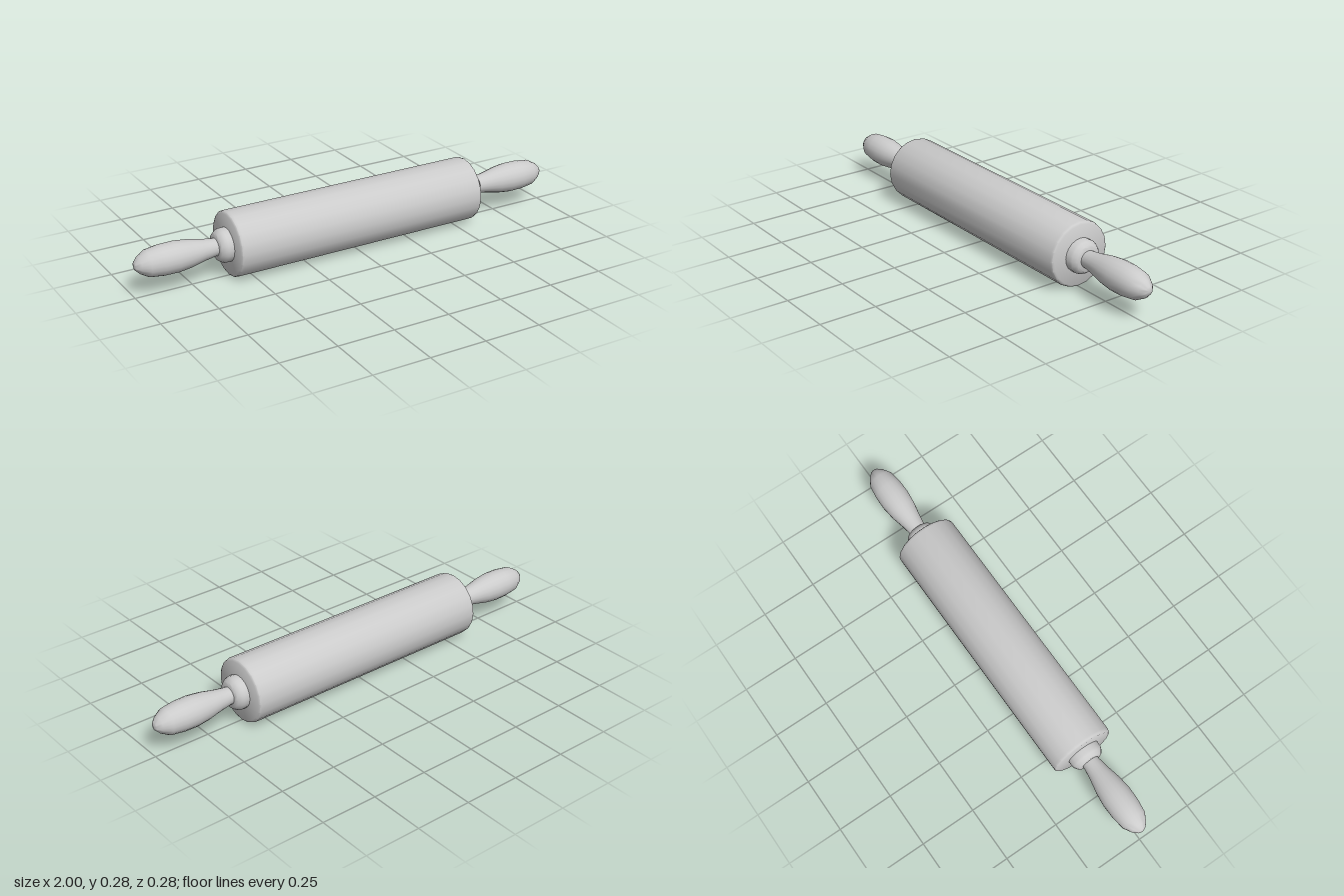
import * as THREE from 'three';
import { toCreasedNormals } from 'three/addons/utils/BufferGeometryUtils.js';

const AXIS_Y = 0.141;
const SIDES = 20;

export function createModel() {
  const model = new THREE.Group();
  model.name = 'rollingPin';
  const material = new THREE.MeshStandardMaterial({ color: 0xcccccc });

  // Turned part: profile of [distance along x, radius], ordered towards +x
  const turned = (name, profile, crease) => {
    const points = profile.map(([x, r]) => new THREE.Vector2(r, x));
    const lathe = new THREE.LatheGeometry(points, SIDES).rotateZ(-Math.PI / 2);
    const mesh = new THREE.Mesh(toCreasedNormals(lathe, crease), material);
    mesh.name = name;
    return mesh;
  };

  // Main barrel with softly rounded rims
  const rim = [[0.573, 0.141], [0.583, 0.138], [0.588, 0.13], [0.588, 0]];
  const barrel = turned('roller', [
    ...rim.map(([x, r]) => [-x, r]).reverse(),
    ...rim,
  ], 0.75);
  barrel.position.y = AXIS_Y;
  model.add(barrel);

  // One collar and handle at each end
  for (const [side, angle] of [['left', 0], ['right', Math.PI]]) {
    const end = new THREE.Group();
    end.name = side + 'End';
    end.position.y = AXIS_Y;
    end.rotation.y = angle;
    end.add(
      turned(side + 'Collar', [
        [0.57, 0.073], [0.612, 0.073], [0.622, 0.069], [0.637, 0.058],
        [0.64, 0.052], [0.64, 0],
      ], 0.75),
      turned(side + 'Handle', [
        [0.62, 0.037], [0.65, 0.038], [0.7, 0.046], [0.76, 0.059],
        [0.82, 0.066], [0.88, 0.065], [0.94, 0.057], [0.975, 0.037],
        [0.994, 0.018], [1, 0],
      ], 1),
    );
    model.add(end);
  }
  return model;
}
